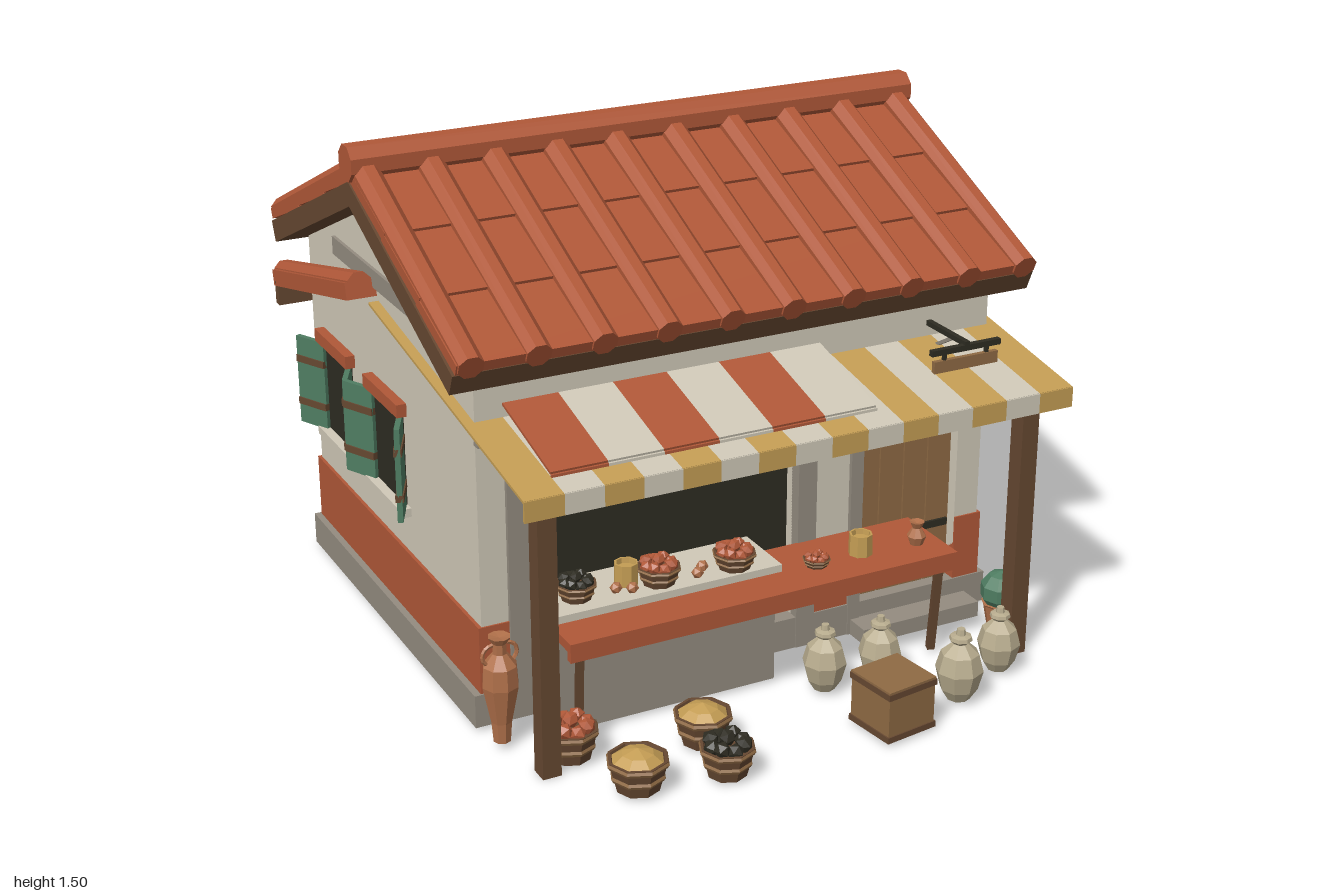
import * as THREE from 'three';

const mat = (name, color) => {
  const m = new THREE.MeshStandardMaterial({ color });
  m.name = name;
  return m;
};

export function createModel() {
  const M = {
    tile: mat('terracotta', 0xb05838), cream: mat('plaster', 0xd0c9b8), grey: mat('stone', 0x948c80),
    dark: mat('dark', 0x2e2c22), brown: mat('darkWood', 0x664831), wood: mat('wood', 0x8f6a44),
    yellow: mat('ochre', 0xc49d54), green: mat('green', 0x4f7d62), clay: mat('clay', 0xb0704a),
    jug: mat('jugClay', 0xb8ac8e),
  };
  const root = new THREE.Group();
  root.name = 'marketHouse';

  // Faceted mesh
  const add = (name, geo, m, parent = root, x = 0, y = 0, z = 0) => {
    const g = geo.index ? geo.toNonIndexed() : geo;
    g.computeVertexNormals();
    const mesh = new THREE.Mesh(g, m);
    mesh.name = name;
    mesh.position.set(x, y, z);
    parent.add(mesh);
    return mesh;
  };
  // Box from its limits
  const box = (name, m, x0, x1, y0, y1, z0, z1, parent = root) =>
    add(name, new THREE.BoxGeometry(x1 - x0, y1 - y0, z1 - z0), m, parent,
      (x0 + x1) / 2, (y0 + y1) / 2, (z0 + z1) / 2);
  const group = (name, parent = root, x = 0, y = 0, z = 0) => {
    const g = new THREE.Group();
    g.name = name;
    g.position.set(x, y, z);
    parent.add(g);
    return g;
  };
  const lathe = (name, m, pts, parent, x, y, z, n = 8) =>
    add(name, new THREE.LatheGeometry(pts.map(p => new THREE.Vector2(...p)), n), m, parent, x, y, z);
  // Bar between two points
  const bar = (name, m, a, b, r) => {
    const A = new THREE.Vector3(...a), B = new THREE.Vector3(...b);
    const mesh = add(name, new THREE.BoxGeometry(r * 2, r * 2, A.distanceTo(B)), m);
    mesh.position.copy(A).lerp(B, 0.5);
    mesh.lookAt(B);
  };

  // House body with gables
  const gable = new THREE.Shape([[-0.33, 0.05], [0.9, 0.05], [0.9, 1.05], [0.247, 1.345], [-0.33, 1.08]]
    .map(p => new THREE.Vector2(...p)));
  const bodyGeo = new THREE.ExtrudeGeometry(gable, { depth: 1.6, bevelEnabled: false });
  bodyGeo.translate(0, 0, -0.8).rotateY(Math.PI / 2);
  add('houseBody', bodyGeo, M.cream);

  // Front wall with stall and door openings
  const rect = (C, x0, x1, y0, y1) => new C([[x0, y0], [x1, y0], [x1, y1], [x0, y1]].map(p => new THREE.Vector2(...p)));
  const front = rect(THREE.Shape, -0.8, 0.8, 0.05, 1.06);
  front.holes.push(rect(THREE.Path, -0.66, 0.175, 0.1, 0.78), rect(THREE.Path, 0.39, 0.72, 0.1, 0.78));
  add('frontWall', new THREE.ExtrudeGeometry(front, { depth: 0.06, bevelEnabled: false }), M.cream, root, 0, 0, 0.33);
  box('stallInterior', M.dark, -0.67, 0.18, 0.1, 0.79, 0.328, 0.336);

  // Plinth, painted band and stone trim
  box('plinth', M.grey, -0.83, 0.83, 0.012, 0.11, -0.92, 0.4);
  box('paintedBand', M.tile, -0.81, 0.81, 0.11, 0.31, -0.91, 0.32);
  for (const [a, b] of [[-0.81, -0.72], [0.235, 0.35], [0.72, 0.81]])
    box('frontBand', M.tile, a, b, 0.11, 0.31, 0.32, 0.395);
  for (const [a, b] of [[-0.72, -0.66], [0.175, 0.235], [0.35, 0.39]])
    box('stoneJamb', M.grey, a, b, 0.012, 0.78, 0.34, 0.403);
  box('frontBeam', M.grey, -0.8, 0.8, 0.84, 0.885, 0.38, 0.408);
  box('gableBeam', M.grey, -0.81, 0.81, 1.06, 1.115, -0.65, 0.25);
  box('doorStep', M.grey, 0.36, 0.76, 0.012, 0.06, 0.39, 0.48);
  box('backBeam', M.grey, 0.17, 0.64, 0.79, 0.835, -0.915, -0.89);
  box('backLedge', M.cream, -0.47, -0.18, 0.445, 0.475, -0.915, -0.89);
  box('backStep', M.grey, 0.13, 0.53, 0.012, 0.05, -0.97, -0.91);

  // Plank door
  const door = group('door');
  for (let i = 0; i < 4; i++)
    box('doorPlank', M.wood, 0.392 + i * 0.082, 0.47 + i * 0.082, 0.11, 0.775, 0.335, 0.36, door);
  for (const y of [0.64, 0.29]) box('doorHinge', M.dark, 0.41, 0.71, y - 0.011, y + 0.011, 0.36, 0.368, door);

  // Tiled roof slope running down local +z
  const cover = (parent, len, y, r) => {
    for (let i = 0; i < 10; i++) {
      const t = add('coverTile', new THREE.CylinderGeometry(r * 0.9, r, len, 8), M.tile, parent, -0.846 + i * 0.188, y, len / 2);
      t.rotation.set(Math.PI / 2, Math.PI / 8, 0, 'XYZ');
    }
  };
  const roof = group('mainRoof', root, 0, 1.4, -0.247);
  for (const side of [0, Math.PI]) {
    const turn = group('roofSide', roof);
    turn.rotation.y = side;
    const slope = group('roofSlope', turn);
    slope.rotation.x = 0.414;
    box('roofDeck', M.brown, -0.89, 0.89, -0.065, 0, 0, 0.79, slope);
    for (let i = 0; i < 3; i++) {
      const c = box('tileCourse', M.tile, -0.885, 0.885, 0.002, 0.034, i * 0.262 - 0.01, i * 0.262 + 0.27, slope);
      c.rotation.x = -0.035;
    }
    cover(slope, 0.8, 0.03, 0.042);
  }
  const ridge = add('ridgeTile', new THREE.CylinderGeometry(0.054, 0.054, 1.79, 8), M.tile, roof, 0, 0.053, 0);
  ridge.rotation.set(0, Math.PI / 8, Math.PI / 2, 'ZYX');

  // Lower rear roof
  const rear = group('rearRoof', root, 0, 1.035, -0.31);
  rear.rotation.set(0.242, Math.PI, 0, 'YXZ');
  box('rearTiles', M.tile, -0.89, 0.89, 0, 0.05, 0, 0.7, rear);
  cover(rear, 0.715, 0.04, 0.038);
  box('rearFascia', M.brown, -0.89, 0.89, 0.815, 0.885, -0.98, -0.95);

  // Side windows, on the wall at side s
  const windowAt = (s, z, open) => {
    const w = group('window', root, s * 0.8, 0, z);
    w.rotation.y = s * Math.PI / 2;
    box('windowLintel', M.tile, -0.137, 0.137, 0.738, 0.777, 0, 0.03, w);
    box('windowSill', M.cream, -0.14, 0.14, 0.43, 0.456, 0, 0.035, w);
    if (open) box('windowOpening', M.dark, -0.11, 0.11, 0.456, 0.738, 0, 0.006, w);
    for (const k of [-1, 1]) {
      const sh = group('shutter', w, open ? k * 0.108 : 0, 0, 0.008);
      if (!open) { box('shutterPanel', M.green, k > 0 ? 0.002 : -0.11, k > 0 ? 0.11 : -0.002, 0.456, 0.738, -0.008, 0.01, sh); continue; }
      sh.rotation.y = -k * 0.45;
      const lim = k > 0 ? [0, 0.115] : [-0.115, 0];
      box('shutterPanel', M.green, ...lim, 0.453, 0.737, -0.006, 0.01, sh);
      for (const y of [0.525, 0.665]) box('shutterBatten', M.brown, ...lim, y - 0.011, y + 0.011, -0.01, 0.014, sh);
    }
  };
  windowAt(1, -0.16, true);
  windowAt(1, -0.62, false);
  windowAt(-1, -0.25, true);
  windowAt(-1, -0.67, true);

  // Awning: wide striped cloth, shorter patterned cloth above, valances and posts
  const cloth = (name, m, x0, x1, za, ya, zb, yb) => {
    const c = box(name, m, x0, x1, -0.004, 0.004, 0, Math.hypot(zb - za, yb - ya));
    c.position.set((x0 + x1) / 2, (ya + yb) / 2, (za + zb) / 2);
    c.rotation.x = Math.atan2(ya - yb, zb - za);
  };
  for (let i = 0; i < 15; i++) {
    const x0 = -0.83 + i * 1.66 / 15, x1 = x0 + 1.66 / 15, m = i % 2 ? M.cream : M.yellow;
    const za = i % 14 ? 0.35 : -0.3;
    cloth('awningStripe', m, x0, x1, za, 0.84 + (0.77 - za) * 0.168, 0.77, 0.84);
    box('awningValance', m, x0, x1, 0.785, 0.843, 0.766, 0.774);
  }
  for (let i = 0; i < 6; i++) {
    const x0 = -0.72 + i * 0.16, m = i % 2 ? M.cream : M.tile;
    cloth('upperCloth', m, x0, x0 + 0.16, 0.39, 0.945, 0.69, 0.866);
    box('upperValance', m, x0, x0 + 0.16, 0.768, 0.864, 0.69, 0.697);
  }
  for (const s of [-1, 1]) box('awningPost', M.brown, s * 0.742 - 0.027, s * 0.742 + 0.027, 0, 0.84, 0.655, 0.71);

  // Hanging board on an iron bracket
  box('signBoard', M.wood, 0.495, 0.705, 0.78, 0.91, 0.571, 0.585);
  box('signCrossbar', M.dark, 0.485, 0.712, 0.928, 0.945, 0.57, 0.587);
  box('signBracket', M.dark, 0.592, 0.608, 0.94, 0.955, 0.39, 0.587);
  for (const x of [0.53, 0.67]) box('signHook', M.dark, x - 0.005, x + 0.005, 0.9, 0.94, 0.573, 0.583);
  bar('signStrut', M.grey, [0.6, 0.87, 0.39], [0.6, 0.945, 0.52], 0.005);

  // Stone counter and trestle table
  box('counter', M.grey, -0.66, 0.03, 0.012, 0.355, 0.33, 0.53);
  box('counterTop', M.cream, -0.66, 0.045, 0.35, 0.372, 0.33, 0.54);
  box('tableTop', M.tile, -0.66, 0.55, 0.322, 0.35, 0.4, 0.66);
  box('tableApron', M.tile, -0.66, 0.55, 0.295, 0.33, 0.64, 0.66);
  for (const x of [-0.62, 0.51]) bar('tableLeg', M.brown, [x, 0.32, 0.63], [x + 0.015, 0.012, 0.58], 0.011);

  // Baskets with heaped goods
  const heap = (g, m, r, y) => {
    for (let i = 0; i < 9; i++) {
      const a = i * 0.785, k = i === 8 ? 0 : 0.58;
      add('produce', new THREE.IcosahedronGeometry(r * 0.3, 0), m, g,
        Math.cos(a) * r * k, y + (k ? (i % 2) * r * 0.1 : r * 0.25), Math.sin(a) * r * k).rotation.set(i, i * 2, 0);
    }
  };
  const basket = (x, y, z, r, h, m, smooth) => {
    const g = group('basket', root, x, y, z);
    lathe('basketBody', M.brown, [[0, 0], [r * 0.68, 0], [r * 0.95, h], [r * 0.85, h], [r * 0.8, h * 0.85], [0, h * 0.85]], g, 0, 0, 0);
    for (const t of [0.45, 0.9])
      lathe('basketBand', M.wood, [[r * (0.69 + 0.27 * t), h * (t - 0.1)], [r * (0.75 + 0.27 * t), h * t], [r * (0.69 + 0.27 * t), h * (t + 0.1)]], g, 0, 0, 0);
    if (smooth) lathe('grainHeap', m, [[r * 0.86, h * 0.9], [r * 0.5, h * 1.15], [0, h * 1.3]], g, 0, 0, 0);
    else heap(g, m, r, h * 1.02);
  };
  basket(-0.57, 0.012, 0.87, 0.088, 0.09, M.yellow, true);
  basket(-0.31, 0.012, 0.74, 0.085, 0.09, M.yellow, true);
  basket(-0.33, 0.012, 0.915, 0.08, 0.085, M.dark);
  basket(-0.66, 0.012, 0.65, 0.08, 0.09, M.tile);
  basket(-0.55, 0.37, 0.46, 0.06, 0.05, M.dark);
  basket(-0.31, 0.37, 0.48, 0.065, 0.055, M.tile);
  basket(-0.08, 0.37, 0.49, 0.065, 0.05, M.tile);
  basket(0.15, 0.348, 0.55, 0.042, 0.026, M.tile);

  // Small goods on the counter and table
  for (const [x, y, z] of [[0.3, 0.348, 0.54], [-0.39, 0.37, 0.44]])
    lathe('cup', M.yellow, [[0, 0], [0.035, 0], [0.034, 0.065], [0.028, 0.065], [0.026, 0.05], [0, 0.05]], root, x, y, z);
  for (const [x, z] of [[-0.44, 0.48], [-0.4, 0.5], [-0.2, 0.5], [-0.17, 0.47]])
    add('looseFruit', new THREE.IcosahedronGeometry(0.018, 0), M.clay, root, x, 0.386, z);
  lathe('smallVase', M.clay, [[0, 0], [0.018, 0], [0.028, 0.028], [0.013, 0.053], [0.022, 0.072], [0, 0.066]], root, 0.475, 0.348, 0.56);

  // Round jugs with stoppers
  const jug = (x, z, h) => lathe('jug', M.jug, [[0, 0], [0.14, 0], [0.23, 0.16], [0.29, 0.42], [0.23, 0.66], [0.09, 0.8],
    [0.14, 0.85], [0.13, 0.9], [0.06, 0.92], [0.05, 1], [0, 1]].map(p => [p[0] * h * 1.1, p[1] * h]), root, x, 0.012, z);
  for (const [x, z, h] of [[0.435, 0.86, 0.215], [0.63, 0.77, 0.195], [0.13, 0.64, 0.2], [0.3, 0.66, 0.195],
    [-0.35, -0.955, 0.1], [-0.51, -0.955, 0.1]]) jug(x, z, h);

  // Tall clay amphora with handles
  const amphora = group('amphora', root, -0.795, 0.02, 0.5);
  lathe('amphoraBody', M.clay, [[0, 0], [0.025, 0], [0.03, 0.06], [0.052, 0.17], [0.048, 0.23], [0.02, 0.265], [0.02, 0.295],
    [0.032, 0.315], [0, 0.31]], amphora, 0, 0, 0);
  for (const s of [-1, 1]) {
    const h = add('amphoraHandle', new THREE.TorusGeometry(0.03, 0.006, 5, 8, Math.PI), M.clay, amphora, s * 0.02, 0.262, 0);
    h.rotation.z = -s * Math.PI / 2;
  }

  // Crate with slats
  const crate = group('crate', root, 0.195, 0.012, 0.895);
  crate.rotation.y = 0.14;
  box('crateBox', M.wood, -0.08, 0.08, 0.005, 0.15, -0.08, 0.08, crate);
  for (const y of [0, 0.13]) box('crateRim', M.brown, -0.084, 0.084, y, y + 0.018, -0.084, 0.084, crate);
  box('crateLid', M.wood, -0.082, 0.082, 0.146, 0.154, -0.082, 0.082, crate);

  // Potted plant
  lathe('plantPot', M.clay, [[0, 0], [0.035, 0], [0.052, 0.085], [0.057, 0.09], [0, 0.09]], root, 0.77, 0.012, 0.575);
  add('plantBush', new THREE.SphereGeometry(0.063, 8, 5), M.green, root, 0.77, 0.14, 0.575);

  // Barrel behind the house
  lathe('barrel', M.wood, [[0, 0], [0.032, 0], [0.037, 0.075], [0.032, 0.15], [0, 0.15]], root, 0.58, 0.012, -0.958);
  for (const y of [0.035, 0.115])
    lathe('barrelHoop', M.dark, [[0.034, y - 0.008], [0.039, y - 0.008], [0.039, y + 0.008], [0.034, y + 0.008]], root, 0.58, 0.012, -0.958);

  return root;
}
